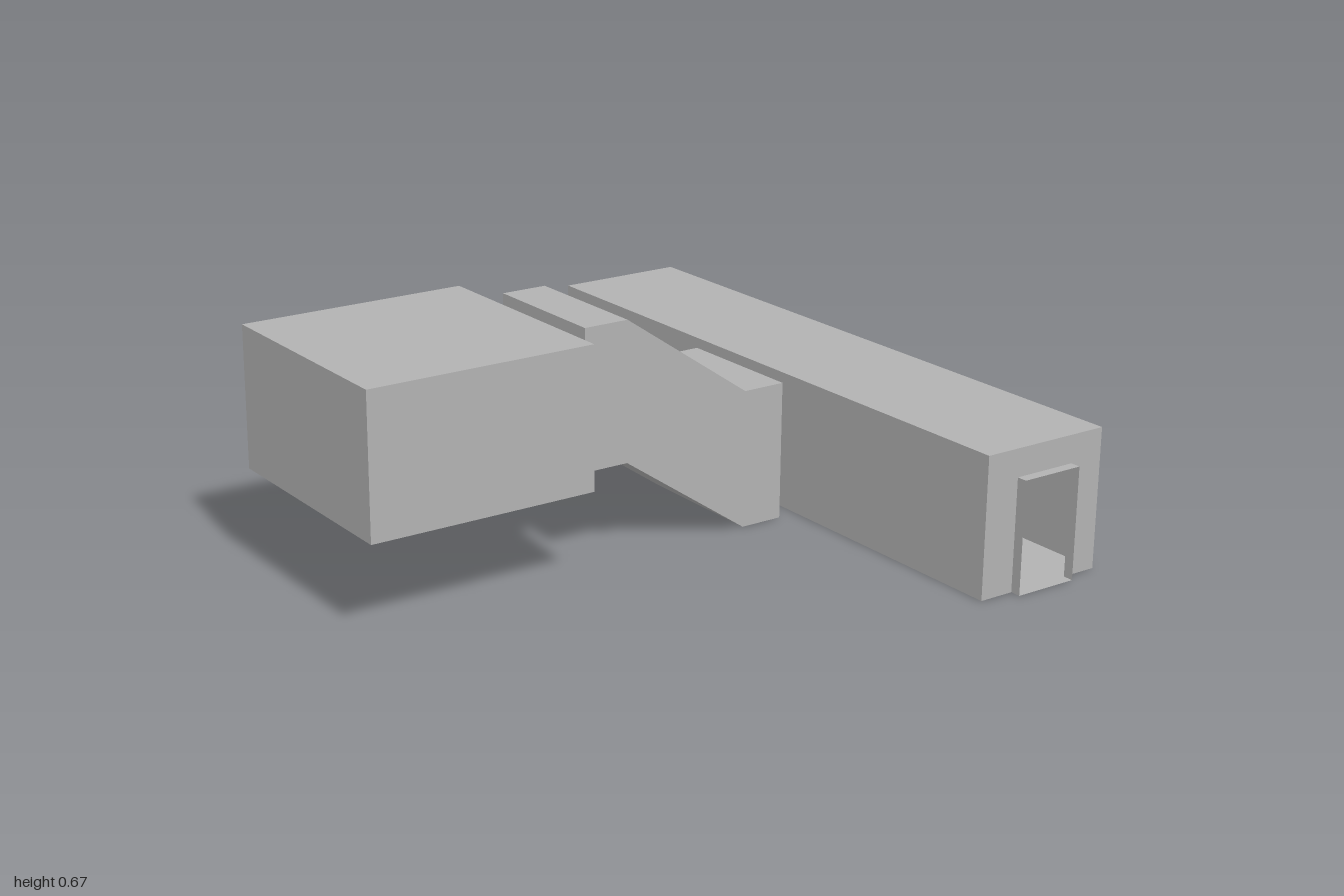
import * as THREE from 'three';

const DOOR_W = 0.19, DOOR_H = 0.32, HEIGHT = 0.4;

export function createModel() {
  const stone = new THREE.MeshStandardMaterial({ color: 0xb2b2b2, side: THREE.DoubleSide });
  stone.name = 'greyStone';
  const model = new THREE.Group();
  model.name = 'connectedRooms';

  const add = (parent, name, geometry, x = 0, y = 0, z = 0) => {
    const mesh = new THREE.Mesh(geometry, stone);
    mesh.name = name;
    mesh.position.set(x, y, z);
    parent.add(mesh);
    return mesh;
  };
  const group = (name, x, y, z) => {
    const g = new THREE.Group();
    g.name = name;
    g.position.set(x, y, z);
    model.add(g);
    return g;
  };

  // Upright sheet standing on y = 0, facing +z, with an optional doorway
  const wall = (width, door) => {
    const w = width / 2, d = DOOR_W / 2;
    const points = [[-w, 0]];
    if (door) points.push([-d, 0], [-d, DOOR_H], [d, DOOR_H], [d, 0]);
    points.push([w, 0], [w, HEIGHT], [-w, HEIGHT]);
    return new THREE.ShapeGeometry(new THREE.Shape(points.map(p => new THREE.Vector2(...p))));
  };
  // Level sheet facing up or down
  const slab = (w, d, up) => new THREE.PlaneGeometry(w, d).rotateX(up ? -Math.PI / 2 : Math.PI / 2);

  // Hollow box room with thin walls
  const room = (name, x, y, w, d, doors) => {
    const g = group(name, x, y, 0);
    add(g, 'floor', slab(w, d, false));
    add(g, 'ceiling', slab(w, d, true), 0, HEIGHT);
    add(g, 'frontWall', wall(w, doors.front), 0, 0, d / 2);
    add(g, 'backWall', wall(w, doors.back).rotateY(Math.PI), 0, 0, -d / 2);
    add(g, 'leftWall', wall(d, doors.left).rotateY(Math.PI / 2), w / 2);
    add(g, 'rightWall', wall(d, doors.right).rotateY(-Math.PI / 2), -w / 2);
  };
  room('squareRoom', -0.59, 0.27, 0.66, 0.665, { left: true });
  room('longHall', 0.72, 0, 0.4, 1.94, { front: true, back: true, right: true });

  // Sloping corridor: the same zigzag line makes floor, ceiling and sides
  const line = [[-0.2, 0.27], [-0.065, 0.27], [0.33, 0], [0.46, 0]];
  const corridor = group('slopedCorridor', 0, 0, 0);
  const top = line.map(([x, y]) => [x, y + HEIGHT]).reverse();
  const outline = new THREE.Shape([...line, ...top].map(p => new THREE.Vector2(...p)));
  add(corridor, 'frontSide', new THREE.ShapeGeometry(outline), 0, 0, 0.2);
  add(corridor, 'backSide', new THREE.ShapeGeometry(outline).scale(-1, 1, 1).rotateY(Math.PI).scale(1, 1, 1), 0, 0, -0.2);
  for (let i = 0; i < 3; i++) {
    const [x0, y0] = line[i], [x1, y1] = line[i + 1];
    const length = Math.hypot(x1 - x0, y1 - y0), tilt = Math.atan2(y1 - y0, x1 - x0);
    for (const up of [false, true]) {
      add(corridor, up ? 'ceilingStrip' : 'floorStrip', slab(length, 0.4, up).rotateZ(tilt),
        (x0 + x1) / 2, (y0 + y1) / 2 + (up ? HEIGHT : 0));
    }
  }
  add(corridor, 'upperEnd', wall(0.4, true).rotateY(-Math.PI / 2), -0.2, 0.27);
  add(corridor, 'lowerEnd', wall(0.4, true).rotateY(Math.PI / 2), 0.46);

  // Short door sleeves running along their local z
  const sleeve = (name, x, y, z, depth, turn) => {
    const g = group(name, x, y, z);
    g.rotation.y = turn;
    add(g, 'sill', slab(DOOR_W, depth, false));
    add(g, 'lintel', slab(DOOR_W, depth, true), 0, DOOR_H);
    for (const s of [-1, 1]) {
      add(g, 'jamb', new THREE.PlaneGeometry(depth, DOOR_H).rotateY(s * Math.PI / 2),
        s * DOOR_W / 2, DOOR_H / 2);
    }
  };
  sleeve('upperPassage', -0.23, 0.27, 0, 0.06, Math.PI / 2);
  sleeve('lowerPassage', 0.49, 0, 0, 0.06, Math.PI / 2);
  sleeve('frontDoorway', 0.72, 0, 0.985, 0.03, 0);
  sleeve('backDoorway', 0.72, 0, -0.985, 0.03, 0);

  return model;
}
